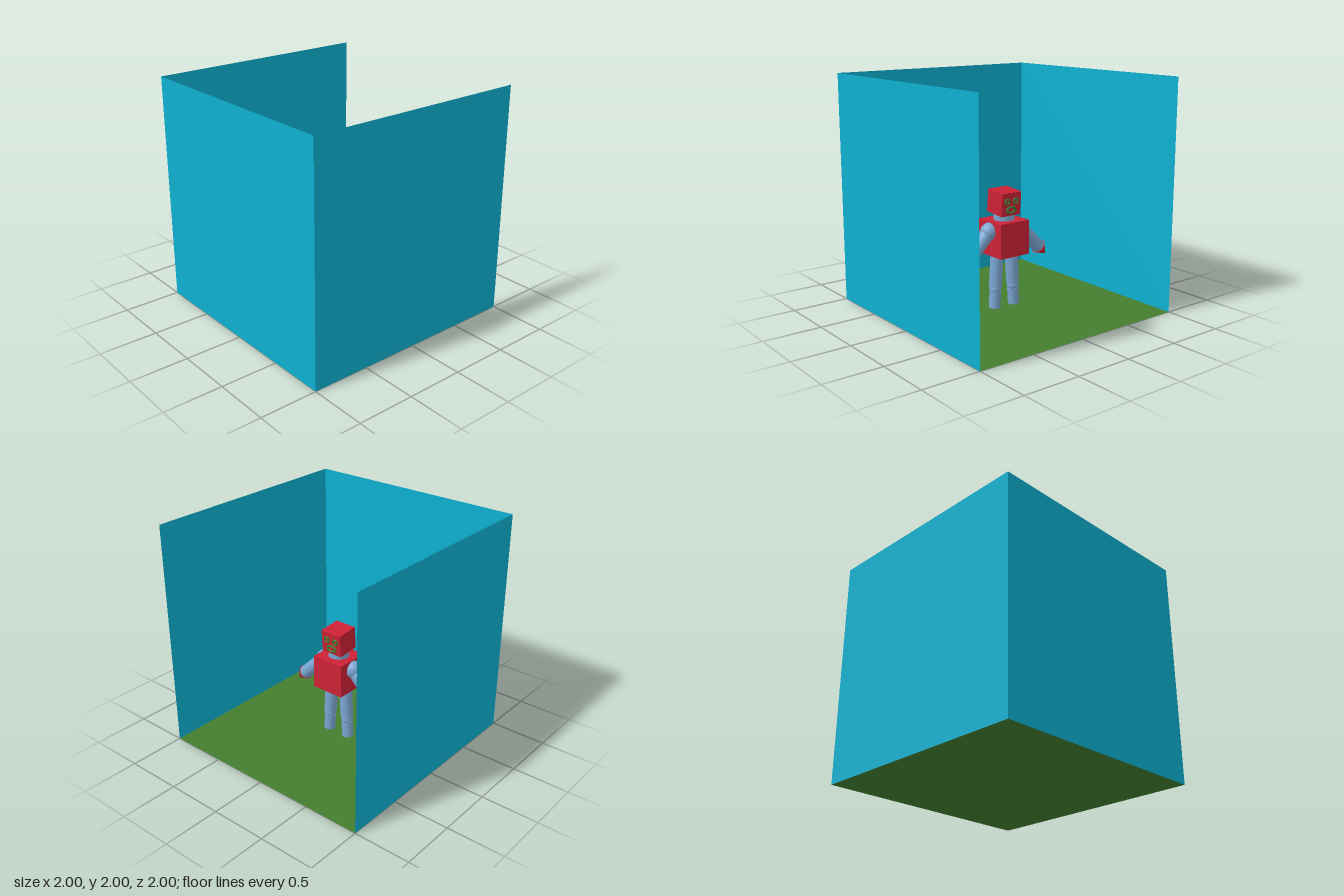
import * as THREE from 'three';

const mat = (name, color, side = THREE.FrontSide) => {
  const m = new THREE.MeshStandardMaterial({ color, side });
  m.name = name;
  return m;
};

export function createModel() {
  const sky = mat('skyBlue', 0x0eb0d0, THREE.DoubleSide);
  const grass = mat('grassGreen', 0x437e2e, THREE.DoubleSide);
  const green = mat('featureGreen', 0x437e2e);
  const red = mat('red', 0xcc2235);
  const steel = mat('steelBlue', 0x7aa6d2);

  const root = new THREE.Group();
  root.name = 'robotRoom';

  const add = (parent, name, geometry, material, x = 0, y = 0, z = 0) => {
    const mesh = new THREE.Mesh(geometry, material);
    mesh.name = name;
    mesh.position.set(x, y, z);
    parent.add(mesh);
    return mesh;
  };

  // Cylinder or cone running from a to b
  const limb = (parent, name, a, b, rA, rB, material) => {
    const from = new THREE.Vector3(...a), to = new THREE.Vector3(...b);
    const dir = to.clone().sub(from);
    const mesh = add(parent, name, new THREE.CylinderGeometry(rB, rA, dir.length(), 32), material);
    mesh.position.copy(from).add(to).multiplyScalar(0.5);
    mesh.quaternion.setFromUnitVectors(new THREE.Vector3(0, 1, 0), dir.normalize());
    return mesh;
  };

  // Room: floor and three walls, open at the back
  const panel = new THREE.PlaneGeometry(2, 2);
  add(root, 'floor', panel, grass).rotation.x = -Math.PI / 2;
  add(root, 'frontWall', panel, sky, 0, 1, 1);
  for (const s of [-1, 1]) {
    add(root, s > 0 ? 'leftWall' : 'rightWall', panel, sky, s, 1, 0).rotation.y = s * Math.PI / 2;
  }

  // Robot facing the open side
  const robot = new THREE.Group();
  robot.name = 'robot';
  root.add(robot);
  add(robot, 'torso', new THREE.BoxGeometry(0.304, 0.3, 0.304), red, 0, 0.625, 0);
  add(robot, 'neck', new THREE.CylinderGeometry(0.09, 0.09, 0.08, 32), steel, 0, 0.805, 0);

  // Head, nodding slightly toward the opening
  const head = new THREE.Group();
  head.name = 'head';
  head.position.set(0, 0.93, 0);
  head.rotation.x = -0.085;
  robot.add(head);
  add(head, 'skull', new THREE.BoxGeometry(0.2, 0.2, 0.2), red);
  const eye = new THREE.TorusGeometry(0.022, 0.009, 12, 28);
  for (const s of [-1, 1]) add(head, 'eye', eye, green, s * 0.045, 0.025, -0.1);
  add(head, 'mouth', new THREE.TorusGeometry(0.026, 0.009, 12, 32), green, 0, -0.05, -0.1).scale.x = 1.6;

  // Arms and legs, mirrored
  for (const s of [-1, 1]) {
    const arm = new THREE.Group();
    arm.name = s > 0 ? 'leftArm' : 'rightArm';
    robot.add(arm);
    add(arm, 'shoulder', new THREE.SphereGeometry(0.076, 32, 20), steel, s * 0.16, 0.69, 0);
    limb(arm, 'armTube', [s * 0.16, 0.69, 0], [s * 0.385, 0.467, 0], 0.06, 0.06, steel);
    limb(arm, 'hand', [s * 0.385, 0.467, 0], [s * 0.465, 0.387, 0], 0.067, 0, red);

    const leg = new THREE.Group();
    leg.name = s > 0 ? 'leftLeg' : 'rightLeg';
    robot.add(leg);
    limb(leg, 'thigh', [s * 0.077, 0.49, 0], [s * 0.094, 0.19, 0], 0.056, 0.056, steel);
    add(leg, 'knee', new THREE.SphereGeometry(0.05, 32, 20), steel, s * 0.095, 0.17, 0);
    limb(leg, 'shin', [s * 0.096, 0.15, 0], [s * 0.105, 0.004, 0], 0.05, 0.05, steel);
  }
  return root;
}
